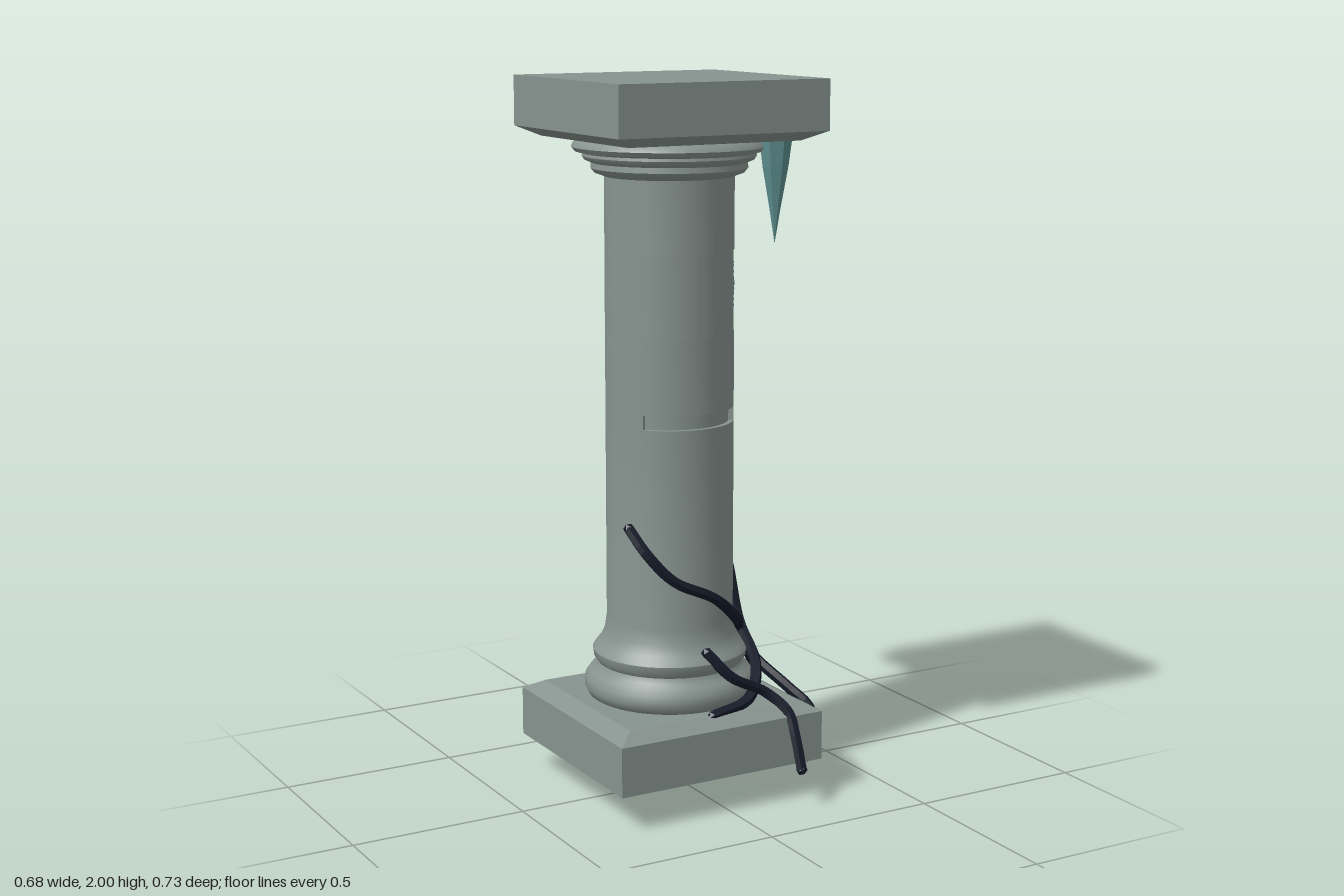
import * as THREE from 'three';
import { mergeGeometries, toCreasedNormals } from 'three/addons/utils/BufferGeometryUtils.js';

const CX = -0.023, CZ = -0.018; // column axis
const R = 0.178, CORE = 0.164;  // shaft radius and recessed radius

const stone = new THREE.MeshStandardMaterial({ color: 0x87938f });
const stoneFlat = new THREE.MeshStandardMaterial({ color: 0x87938f, flatShading: true });
const ice = new THREE.MeshStandardMaterial({ color: 0x5f9090, flatShading: true });
const bark = new THREE.MeshStandardMaterial({ color: 0x141a28, flatShading: true });

function add(parent, name, geometry, material) {
  const mesh = new THREE.Mesh(geometry, material);
  mesh.name = name;
  parent.add(mesh);
  return mesh;
}

// Four-sided block; half widths at the bottom and top
function block(y0, y1, bottom, top, depthRatio = 0.96) {
  const g = new THREE.CylinderGeometry(top * Math.SQRT2, bottom * Math.SQRT2, y1 - y0, 4);
  g.rotateY(Math.PI / 4);
  g.scale(1, 1, depthRatio);
  g.translate(0, (y0 + y1) / 2, 0);
  return g;
}

// Part of the shaft's outer skin between two angles (0 = +x)
function sector(a0, a1, y0, y1) {
  const s = new THREE.Shape();
  s.absarc(0, 0, R, a0, a1, false);
  s.absarc(0, 0, CORE - 0.005, a1, a0, true);
  const g = new THREE.ExtrudeGeometry(s, { depth: y1 - y0, bevelEnabled: false, curveSegments: 32 });
  g.rotateX(-Math.PI / 2);
  g.translate(0, y0, 0);
  return toCreasedNormals(g, 0.6);
}

// Eight-armed frost relief, bent around the shaft on the +x side
function frostRelief() {
  const bars = [];
  const bar = (len, width, angle, cx, cy, tilt) => {
    const g = new THREE.BoxGeometry(len, width, 0.02, 5, 1, 1);
    g.translate(len / 2, 0, 0);
    g.rotateZ(tilt);
    g.translate(cx, cy, 0);
    g.rotateZ(angle);
    bars.push(g);
  };
  for (let i = 0; i < 8; i++) {
    const a = (i * Math.PI) / 4;
    const len = i % 2 ? 0.095 : 0.105;
    bar(len, 0.009, a, 0, 0, 0);
    for (const side of [-1, 1]) {
      bar(0.034, 0.007, a, 0.055, 0, side * 0.8);
      bar(0.022, 0.006, a, 0.078, 0, side * 0.8);
    }
  }
  const g = mergeGeometries(bars);
  const p = g.attributes.position;
  for (let i = 0; i < p.count; i++) {
    const u = p.getX(i), v = p.getY(i), w = p.getZ(i);
    p.setXYZ(i, Math.sqrt(0.173 ** 2 - u * u) + w, v, -u);
  }
  return g;
}

// Bent creeper through a few points, with closed tips
function vine(parent, name, points, radius = 0.016) {
  const pts = points.map((p) => new THREE.Vector3(...p));
  const curve = new THREE.CatmullRomCurve3(pts, false, 'centripetal');
  const group = new THREE.Group();
  group.name = name;
  parent.add(group);
  add(group, 'stem', new THREE.TubeGeometry(curve, points.length * 5, radius, 6), bark);
  for (const end of [pts[0], pts[pts.length - 1]])
    add(group, 'tip', new THREE.IcosahedronGeometry(radius, 0), bark).position.copy(end);
}

export function createModel() {
  const model = new THREE.Group();
  model.name = 'frostedColumn';
  const column = new THREE.Group();
  column.name = 'column';
  column.position.set(CX, 0, CZ);
  model.add(column);

  // Plinth and top slab with sloped faces towards the shaft
  add(column, 'plinth', block(0.105, 0.245, 0.318, 0.318), stoneFlat);
  add(column, 'plinthSlope', block(0.245, 0.272, 0.318, 0.268), stoneFlat);
  add(column, 'topSlabSlope', block(1.835, 1.862, 0.262, 0.318), stoneFlat);
  add(column, 'topSlab', block(1.862, 2, 0.318, 0.318), stoneFlat);

  // Shaft with base rolls, a recessed ring, a recessed panel and capital rolls
  const profile = [
    [0.21, 0.265], [0.232, 0.278], [0.242, 0.3], [0.24, 0.325], [0.226, 0.345], [0.21, 0.355],
    [0.204, 0.37], [0.215, 0.385], [0.218, 0.405], [0.208, 0.42], [0.198, 0.43], [0.184, 0.46], [R, 0.5],
    [R, 1.06], [CORE, 1.06], [CORE, 1.1], [R, 1.1],
    [R, 1.31], [CORE, 1.31], [CORE, 1.535], [R, 1.535],
    [R, 1.735], [0.205, 1.745], [0.215, 1.757], [0.213, 1.772], [0.232, 1.78], [0.238, 1.79],
    [0.236, 1.798], [0.258, 1.803], [0.267, 1.815], [0.26, 1.828], [0.235, 1.84],
  ].map(([r, y]) => new THREE.Vector2(r, y));
  add(column, 'shaft', toCreasedNormals(new THREE.LatheGeometry(profile, 48), 0.7), stone);
  // Skin that leaves the ring groove open at front and back, and the panel open at the side
  for (const mid of [0, Math.PI])
    add(column, 'ringFill', sector(mid - 0.64, mid + 0.64, 1.06, 1.1), stone);
  add(column, 'panelSurround', sector(0.69, Math.PI * 2 - 0.69, 1.31, 1.535), stone);
  add(column, 'frostRelief', frostRelief(), ice).position.set(0, 1.43, -0.007);

  // Icicles: x, z, length, radius
  for (const [x, z, len, r] of [
    [0.195, 0.175, 0.28, 0.045], [0.24, 0.113, 0.19, 0.032], [0.2, -0.24, 0.09, 0.02],
    [0.215, 0.145, 0.13, 0.032],
  ]) {
    const pts = [[0, -len], [r * 0.35, -len * 0.65], [r * 0.8, -len * 0.25], [r, 0], [r * 0.8, 0.015], [0, 0.015]];
    const g = new THREE.LatheGeometry(pts.map((p) => new THREE.Vector2(...p)), 7);
    add(model, 'icicle', g, ice).position.set(x, 1.835, z);
  }

  // Creepers winding over the shaft and plinth
  vine(model, 'frontVine', [
    [-0.2, 0.785, 0.07], [-0.175, 0.72, 0.13], [-0.11, 0.645, 0.162], [0.01, 0.585, 0.17], [0.115, 0.5, 0.115],
    [0.165, 0.45, 0.05], [0.225, 0.375, -0.02], [0.305, 0.275, -0.1], [0.325, 0.19, -0.115],
    [0.32, 0.12, -0.08], [0.3, 0.08, 0],
  ]);
  vine(model, 'backVine', [
    [0.13, 0.97, -0.175], [0.07, 0.89, -0.18], [-0.015, 0.8, -0.205], [-0.11, 0.62, -0.188], [0, 0.59, -0.205],
    [0.11, 0.55, -0.16], [0.168, 0.485, -0.075], [0.215, 0.36, 0.03], [0.28, 0.275, 0.13],
    [0.32, 0.22, 0.185], [0.325, 0.14, 0.195], [0.315, 0.07, 0.175],
  ]);
  vine(model, 'loopVine', [
    [0.14, 0.65, -0.17], [0.145, 0.71, -0.165], [0.16, 0.737, -0.12], [0.165, 0.715, -0.07],
    [0.167, 0.62, -0.015], [0.17, 0.47, 0.04], [0.16, 0.37, 0.15], [0.1, 0.295, 0.215], [-0.03, 0.268, 0.235],
  ]);
  vine(model, 'frontRootVine', [
    [-0.02, 0.435, 0.185], [0.04, 0.365, 0.22], [0.15, 0.305, 0.22], [0.192, 0.255, 0.275],
    [0.192, 0.2, 0.31], [0.19, 0.11, 0.35],
  ]);
  vine(model, 'backRootVine', [
    [0.12, 0.43, -0.175], [0.115, 0.36, -0.26], [0.06, 0.28, -0.33], [-0.03, 0.19, -0.345], [-0.12, 0.11, -0.34],
  ]);
  vine(model, 'cornerRootVine', [
    [0.3, 0.24, -0.165], [0.2, 0.19, -0.32], [0.11, 0.11, -0.352], [-0.02, 0.016, -0.342],
  ]);
  return model;
}
